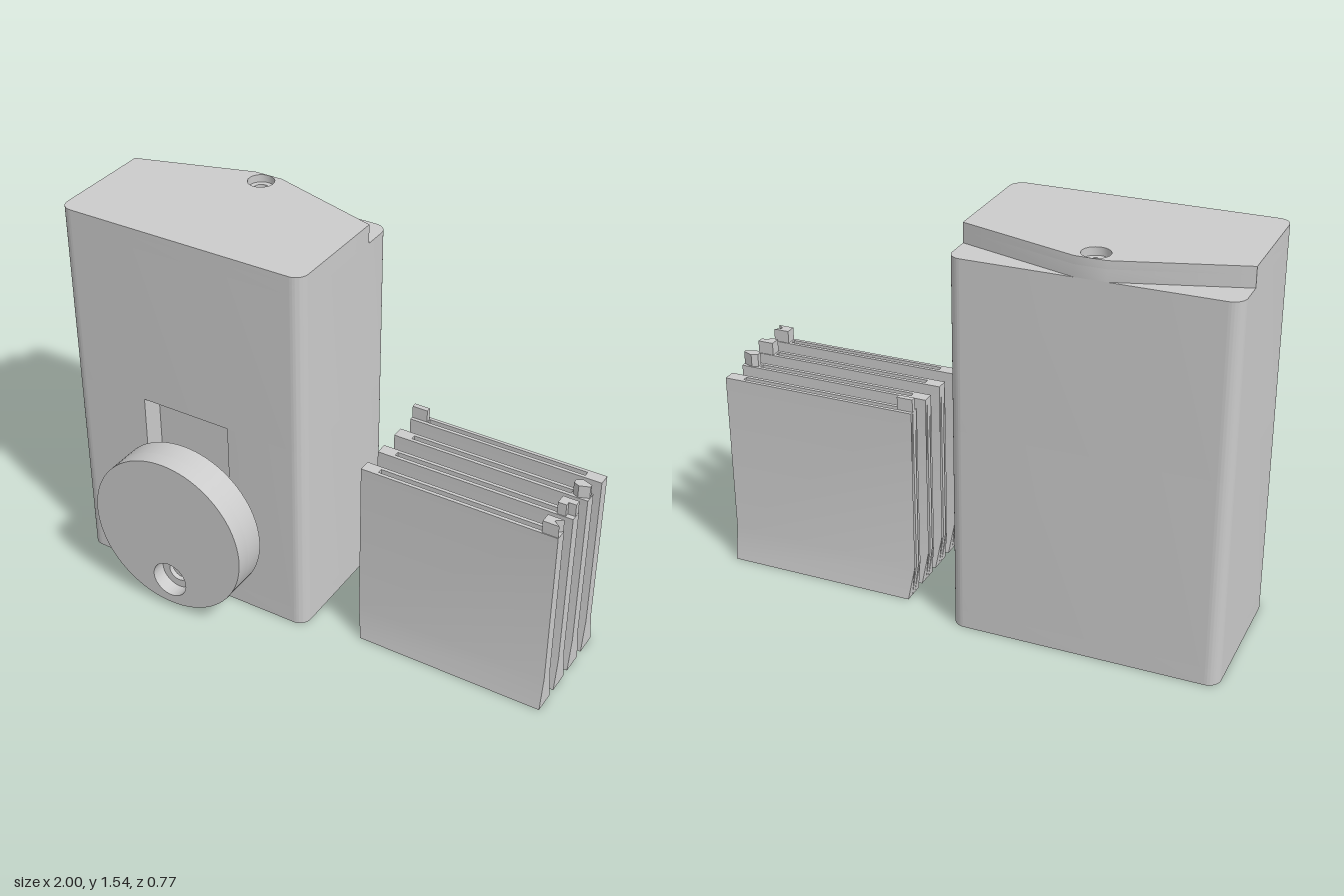
import * as THREE from 'three';
import { toCreasedNormals } from 'three/addons/utils/BufferGeometryUtils.js';

const material = new THREE.MeshStandardMaterial({ color: 0xcccccc });

function add(parent, name, geometry) {
  const mesh = new THREE.Mesh(toCreasedNormals(geometry, 0.5), material);
  mesh.name = name;
  parent.add(mesh);
  return mesh;
}

function polygon(points) {
  return new THREE.Shape(points.map(([x, y]) => new THREE.Vector2(x, y)));
}

function circle(x, y, r, Type = THREE.Path) {
  return new Type().absarc(x, y, r, 0, Math.PI * 2, false);
}

function extrude(shape, depth, holes = [], curveSegments = 16) {
  shape.holes.push(...holes);
  return new THREE.ExtrudeGeometry(shape, { depth, bevelEnabled: false, curveSegments });
}

// Layer between two heights; the plan shape is drawn in (x, -z)
function layer(parent, name, shape, y0, y1, holes) {
  return add(parent, name, extrude(shape, y1 - y0, holes).rotateX(-Math.PI / 2).translate(0, y0, 0));
}

const L = -1, R = 0.026, FRONT = -0.215, BACK = 0.385, MID = -0.487, RAD = 0.05;

// Rounded plan of the housing, optionally notched at the front for the window
function plan(notch) {
  const s = new THREE.Shape();
  s.moveTo(L + RAD, FRONT);
  if (notch) {
    s.lineTo(-0.675, FRONT).lineTo(-0.675, FRONT + 0.09);
    s.lineTo(-0.3, FRONT + 0.09).lineTo(-0.3, FRONT);
  }
  s.absarc(R - RAD, FRONT + RAD, RAD, -Math.PI / 2, 0, false);
  s.absarc(R - RAD, BACK - RAD, RAD, 0, Math.PI / 2, false);
  s.absarc(L + RAD, BACK - RAD, RAD, Math.PI / 2, Math.PI, false);
  s.absarc(L + RAD, FRONT + RAD, RAD, Math.PI, Math.PI * 1.5, false);
  return s;
}

// Raised top, cut away obliquely at the two back corners
function topPlan() {
  const s = new THREE.Shape();
  s.moveTo(L + RAD, FRONT);
  s.absarc(R - RAD, FRONT + RAD, RAD, -Math.PI / 2, 0, false);
  s.lineTo(R, 0.245).lineTo(-0.43, BACK).lineTo(-0.545, BACK).lineTo(L, 0.245);
  s.absarc(L + RAD, FRONT + RAD, RAD, Math.PI, Math.PI * 1.5, false);
  return s;
}

function createHousing() {
  const g = new THREE.Group();
  g.name = 'housing';
  const corners = [];
  for (const x of [L + 0.065, R - 0.065])
    for (const y of [FRONT + 0.065, BACK - 0.065]) corners.push(circle(x, y, 0.03));
  layer(g, 'housingBase', plan(false), 0, 0.07, corners);
  layer(g, 'windowSection', plan(true), 0.07, 0.815);
  layer(g, 'upperSection', plan(false), 0.815, 1.465);
  layer(g, 'topLower', topPlan(), 1.465, 1.51, [circle(MID, 0.332, 0.03)]);
  layer(g, 'topUpper', topPlan(), 1.51, 1.54, [circle(MID, 0.332, 0.051)]);
  return g;
}

function createKnob() {
  const g = new THREE.Group();
  g.name = 'knobAssembly';
  const x = -0.481, y = 0.355, sy = 0.137;
  const disc = (name, z, depth, hole) => add(g, name,
    extrude(circle(x, y, 0.33, THREE.Shape), depth, [circle(x, sy, hole)], 40).translate(0, 0, z));
  disc('knobBack', 0.243, 0.082, 0.043);
  disc('knobFront', 0.325, 0.06, 0.075);

  // Screw head with a cross recess
  const cross = [];
  for (let i = 0; i < 4; i++) {
    const a = i * Math.PI / 2, c = Math.cos(a), s = Math.sin(a);
    for (const [u, v] of [[0.012, -0.012], [0.03, -0.01], [0.03, 0.01]])
      cross.push([x + u * c - v * s, sy + u * s + v * c]);
  }
  const recess = new THREE.Path(cross.map(([u, v]) => new THREE.Vector2(u, v)));
  add(g, 'screwHead', extrude(circle(x, sy, 0.043, THREE.Shape), 0.02, [recess]).translate(0, 0, 0.285));
  add(g, 'screwCore', new THREE.CylinderGeometry(0.043, 0.043, 0.04, 32)
    .rotateX(Math.PI / 2).translate(x, sy, 0.265));

  // Carrier sliding in the window, and the axle joining it to the knob
  add(g, 'carrier', new THREE.BoxGeometry(0.315, 0.115, 0.115).translate(x, 0.143, 0.1825));
  add(g, 'axle', new THREE.CylinderGeometry(0.073, 0.073, 0.12, 32)
    .rotateX(Math.PI / 2).translate(x, 0.2, 0.185));
  return g;
}

// Tab outlines in (x, z) about the tab centre, one for each plate
const w = 0.031, t = 0.021;
const tabs = [
  [[-w, -t], [w, -t], [0.004, 0], [w, t], [-w, t]],
  [[-w, -t], [w, -t], [w, 0.004], [0.002, 0.004], [0.002, t], [-w, t]],
  [[-w, -0.01], [-0.008, -t], [w, -0.006], [w, 0.006], [-0.008, t], [-w, 0.01]],
  [[-w, -0.01], [w, -0.01], [w, 0.01], [-w, 0.01]],
];

function createPlate(index) {
  const g = new THREE.Group();
  g.name = 'plate' + (index + 1);
  const x0 = 0.225, x1 = 1, top = 0.785, knee = 0.135;

  // Core with a rounded slot sunk in the top edge
  const core = new THREE.Shape();
  core.moveTo(0.245, 0).lineTo(x1, 0).lineTo(x1, top).lineTo(0.93, top);
  core.absarc(0.61, top, 0.32, 0, -Math.PI, true);
  core.lineTo(x0, top).lineTo(x0, knee);
  add(g, 'plateCore', extrude(core, 0.02).translate(0, 0, -0.01));

  // Cheeks either side of the slot, flaring out to the foot
  for (const side of [1, -1]) {
    const pts = [[0.01, 0], [0.046, 0], [0.024, knee], [0.024, top], [0.01, top]]
      .map(([z, y]) => [-z * side, y]);
    const geo = extrude(polygon(pts), x1 - x0).rotateY(Math.PI / 2).translate(x0, 0, 0);
    const p = geo.attributes.position;
    for (let i = 0; i < p.count; i++)
      if (p.getX(i) < x0 + 0.001 && p.getY(i) < 0.001) p.setX(i, 0.245);
    geo.computeVertexNormals();
    add(g, side > 0 ? 'frontCheek' : 'backCheek', geo);
  }

  // Coding tab on one end of the top edge
  const tx = index === 3 ? x0 + 0.032 : x1 - 0.032;
  const tab = polygon(tabs[index].map(([x, z]) => [x + tx, -z]));
  layer(g, 'tab', tab, top - 0.005, 0.835);
  g.position.z = 0.115 - 0.1223 * index;
  return g;
}

export function createModel() {
  const model = new THREE.Group();
  model.name = 'model';
  model.add(createHousing(), createKnob());
  for (let i = 0; i < 4; i++) model.add(createPlate(i));
  return model;
}
